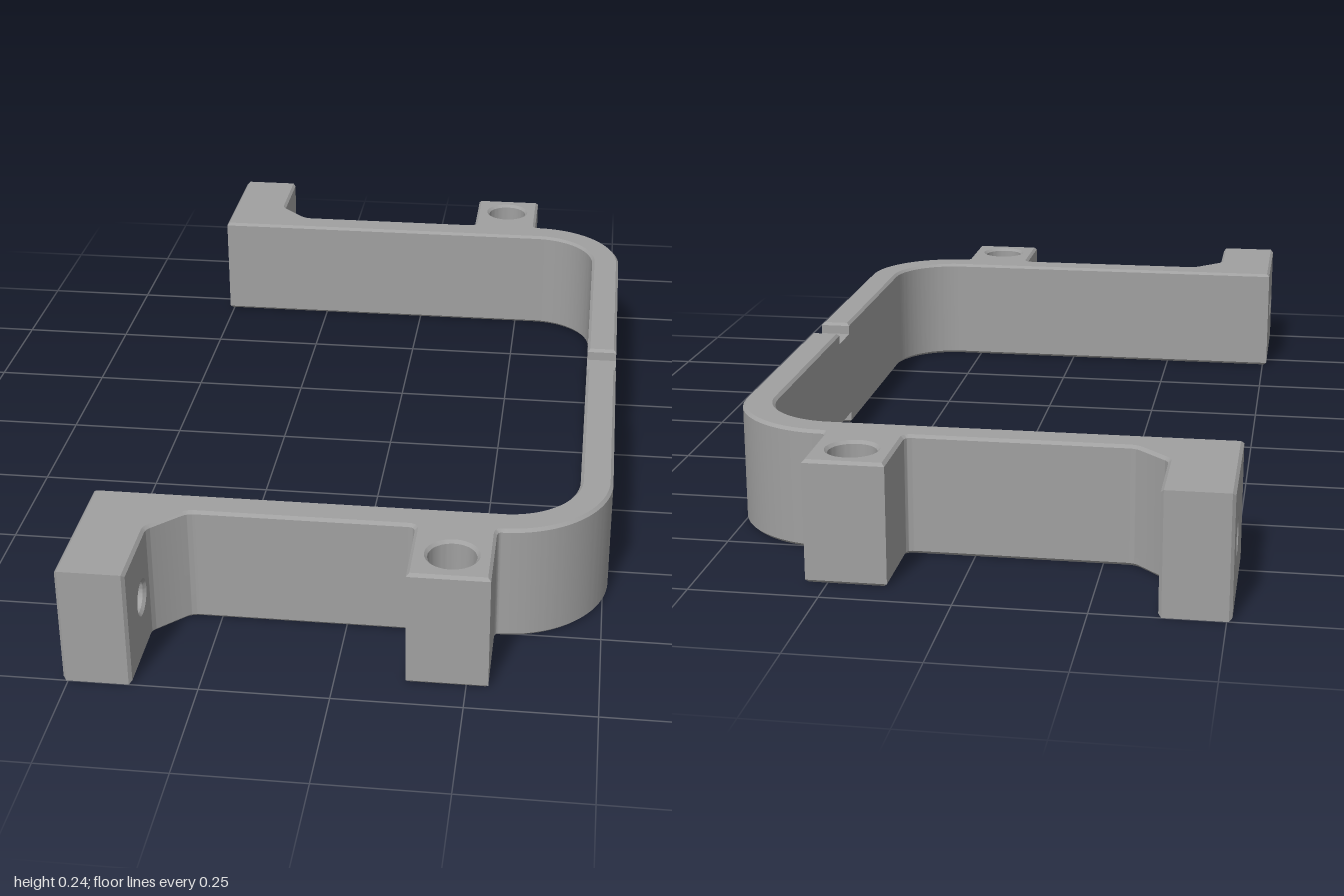
import * as THREE from 'three';
import { toCreasedNormals } from 'three/addons/utils/BufferGeometryUtils.js';

const H = 0.243;     // bracket height
const B = 0.006;     // edge chamfer

function extrude(shape, thickness) {
  const geo = new THREE.ExtrudeGeometry(shape, {
    depth: thickness - 2 * B, bevelEnabled: true, bevelThickness: B,
    bevelSize: B, bevelOffset: -B, bevelSegments: 1, curveSegments: 24,
  });
  geo.translate(0, 0, B);
  return geo;
}

function hole(x, y, r) {
  const p = new THREE.Path();
  p.absarc(x, y, r, 0, Math.PI * 2, true);
  return p;
}

// Plan outline (x, z) of one half: arm, rounded corner, half crossbar and lug
function armGeometry() {
  const s = new THREE.Shape();
  s.moveTo(-0.51, 0.695);
  s.lineTo(0.30, 0.695);
  s.absarc(0.30, 0.55, 0.145, Math.PI / 2, 0, true);
  s.lineTo(0.445, 0.045);
  s.lineTo(0.51, 0.045);
  s.lineTo(0.51, 0.55);
  s.absarc(0.30, 0.55, 0.21, 0, Math.PI / 2, false);
  s.quadraticCurveTo(0.292, 0.76, 0.292, 0.775);
  s.lineTo(0.292, 0.935);
  s.lineTo(0.135, 0.935);
  s.lineTo(0.135, 0.775);
  s.quadraticCurveTo(0.135, 0.76, 0.12, 0.76);
  s.lineTo(-0.295, 0.76);
  s.quadraticCurveTo(-0.31, 0.76, -0.32, 0.77);
  s.lineTo(-0.365, 0.815);
  s.quadraticCurveTo(-0.377, 0.825, -0.377, 0.837);
  s.lineTo(-0.51, 0.837);
  s.closePath();
  s.holes.push(hole(0.214, 0.857, 0.047));
  const geo = extrude(s, H);
  geo.rotateX(Math.PI / 2);
  geo.translate(0, H, 0);
  return toCreasedNormals(geo, 0.5);
}

// End tab, bored along x; it overlaps the stub of the arm
function tabGeometry() {
  const s = new THREE.Shape();
  s.moveTo(-1, 0);
  s.lineTo(-0.80, 0);
  s.lineTo(-0.80, H);
  s.lineTo(-1, H);
  s.closePath();
  s.holes.push(hole(-0.885, H / 2, 0.031));
  const geo = extrude(s, 0.133);
  geo.rotateY(Math.PI / 2);   // shape x becomes -z, depth becomes +x
  geo.translate(-0.51, 0, 0);
  return toCreasedNormals(geo, 0.5);
}

export function createModel() {
  const grey = new THREE.MeshStandardMaterial({ color: 0xa0a0a0 });
  grey.name = 'grey';
  const model = new THREE.Group();
  model.name = 'bracket';
  const armGeo = armGeometry();
  const tabGeo = tabGeometry();

  // Two halves; the back one is the front one turned over about the x axis
  for (const side of ['front', 'back']) {
    const half = new THREE.Group();
    half.name = side + 'Half';
    const arm = new THREE.Mesh(armGeo, grey);
    arm.name = side + 'Arm';
    const tab = new THREE.Mesh(tabGeo, grey);
    tab.name = side + 'EndTab';
    half.add(arm, tab);
    if (side === 'back') {
      half.rotation.x = Math.PI;
      half.position.y = H;
    }
    model.add(half);
  }

  // Thinner middle of the crossbar, leaving a notch above and below
  const bridge = new THREE.Mesh(new THREE.BoxGeometry(0.065, 0.19, 0.11), grey);
  bridge.name = 'notchedBridge';
  bridge.position.set(0.4775, 0.1225, 0);
  model.add(bridge);
  return model;
}
